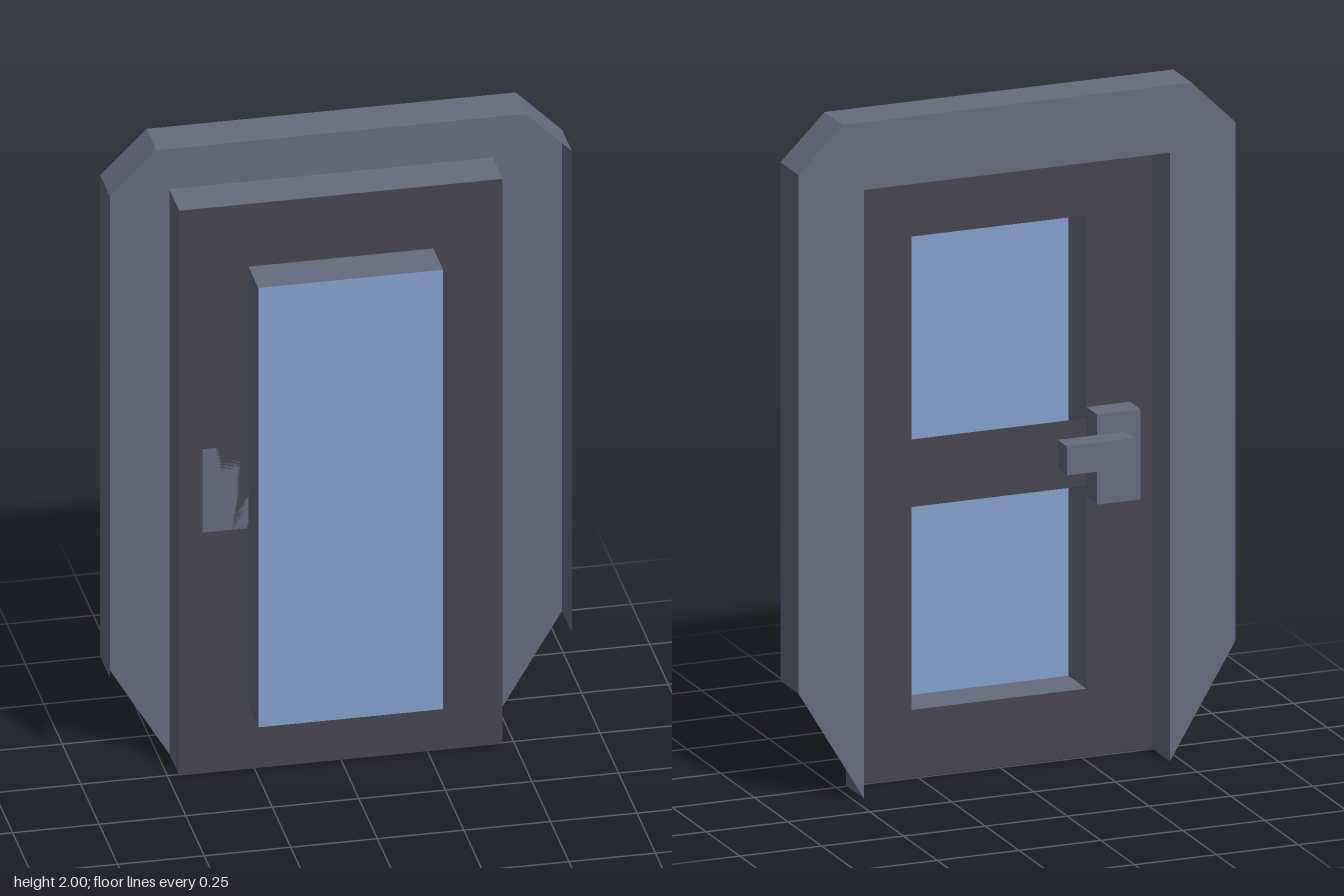
import * as THREE from 'three';

// Depth planes: back of the frame, front of the door panel, window glass
const Z_BACK = -0.127, Z_PANEL = 0.007, Z_GLASS = 0.14;

const material = (name, color) => {
  const m = new THREE.MeshStandardMaterial({ color, side: THREE.DoubleSide });
  m.name = name;
  return m;
};

const rectangle = (x0, y0, x1, y1) => [[x0, y0], [x0, y1], [x1, y1], [x1, y0]];
const toVectors = (points) => points.map(([x, y]) => new THREE.Vector2(x, y));

export function createModel() {
  const metal = material('slate metal', 0x666b7f);
  const dark = material('dark panel', 0x46454f);
  const glass = material('blue glass', 0x82a0cb);
  const model = new THREE.Group();
  model.name = 'door';

  const add = (name, geometry, mat) => {
    const mesh = new THREE.Mesh(geometry, mat);
    mesh.name = name;
    model.add(mesh);
    return mesh;
  };

  // Flat sheet facing the front, with optional holes
  const sheet = (name, points, z, mat, holes = []) => {
    const shape = new THREE.Shape(toVectors(points));
    shape.holes = holes.map((h) => new THREE.Path(toVectors(h)));
    add(name, new THREE.ShapeGeometry(shape), mat).position.z = z;
  };

  // Thin wall standing on an outline, running from z0 to z1
  const wall = (name, points, z0, z1, closed = false) => {
    const pos = [];
    const count = points.length - (closed ? 0 : 1);
    for (let i = 0; i < count; i++) {
      const [ax, ay] = points[i];
      const [bx, by] = points[(i + 1) % points.length];
      pos.push(ax, ay, z0, ax, ay, z1, bx, by, z1, ax, ay, z0, bx, by, z1, bx, by, z0);
    }
    const g = new THREE.BufferGeometry();
    g.setAttribute('position', new THREE.Float32BufferAttribute(pos, 3));
    g.computeVertexNormals();
    add(name, g, metal);
  };

  // Box given by its two extreme corners
  const block = (name, [x0, y0, z0], [x1, y1, z1]) => {
    const mesh = add(name, new THREE.BoxGeometry(x1 - x0, y1 - y0, z1 - z0), metal);
    mesh.position.set((x0 + x1) / 2, (y0 + y1) / 2, (z0 + z1) / 2);
  };

  // Outer frame: back sheet around the doorway and a rim along sides and top
  const rim = [[-0.667, 0.333], [-0.667, 1.867], [-0.533, 2], [0.533, 2], [0.667, 1.867], [0.667, 0.333]];
  const doorway = rectangle(-0.467, 0, 0.467, 1.8);
  sheet('frameSheet', [doorway[0], ...rim, ...[...doorway].reverse().slice(0, 3)], Z_BACK, metal);
  wall('frameRim', rim, Z_BACK, Z_PANEL);

  // Door panel with two openings, and its side and top walls
  const openings = [rectangle(-0.267, 0.2, 0.267, 0.8), rectangle(-0.267, 1, 0.267, 1.6)];
  sheet('doorPanel', doorway, Z_PANEL, dark, openings);
  wall('doorPanelWalls', doorway, Z_BACK, Z_PANEL);

  // Projecting window box
  const opening = rectangle(-0.267, 0.2, 0.267, 1.6);
  wall('windowBoxWalls', opening, Z_PANEL, Z_GLASS, true);
  sheet('windowGlass', opening, Z_GLASS, glass);

  // Handle on the back
  block('handlePlate', [-0.4, 0.767, -0.073], [-0.267, 1.033, Z_PANEL]);
  block('handleLever', [-0.353, 0.887, -0.14], [-0.147, 0.973, -0.073]);

  return model;
}
